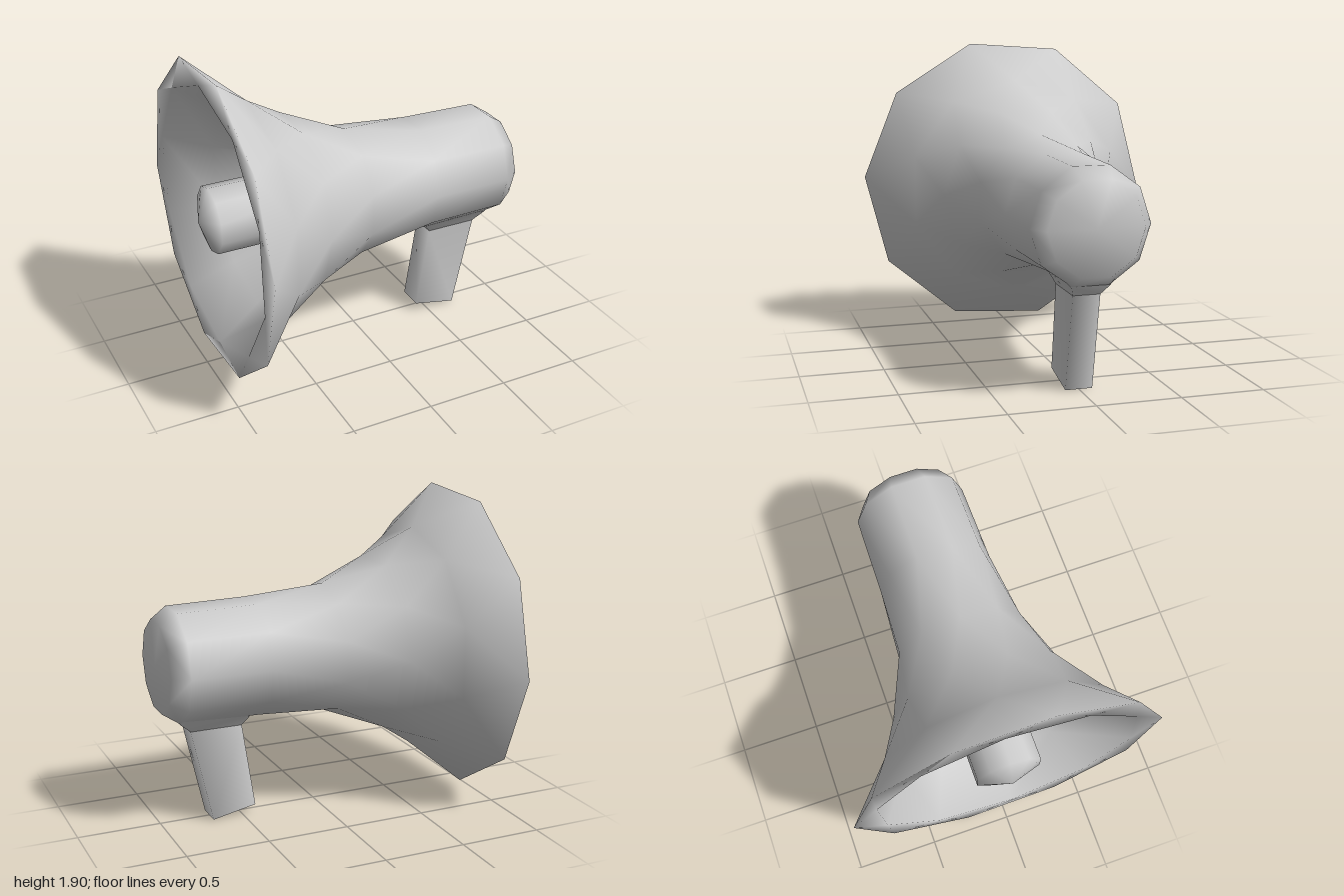
import * as THREE from 'three';

const AXIS_Y = 0.975;
const SIDES = 10;

// Ring of points around the horn's long axis (phase in degrees, 0 = top)
function ring(x, r, phase = 0) {
  return Array.from({ length: SIDES }, (_, j) => {
    const a = THREE.MathUtils.degToRad(phase + (360 / SIDES) * j);
    return new THREE.Vector3(x, AXIS_Y + r * Math.cos(a), r * Math.sin(a));
  });
}

// Rectangular ring for the grip; y may differ between its two ends
function rect(x0, y0, x1, y1, z) {
  return [[x1, y1, -z], [x1, y1, z], [x0, y0, z], [x0, y0, -z]].map(p => new THREE.Vector3(...p));
}

const onAxis = x => new THREE.Vector3(x, AXIS_Y, 0);

// Smooth skin over rings, split along the shorter diagonals;
// start and end are optional points that close it with a fan
function loft(name, rings, { start, end } = {}) {
  const n = rings[0].length;
  const base = (rings.length - 1) * n;
  const pts = rings.flat();
  const index = [];
  for (let i = 0; i < base; i += n) {
    for (let j = 0; j < n; j++) {
      const k = (j + 1) % n;
      const a = i + j, b = i + k, c = a + n, d = b + n;
      if (pts[a].distanceTo(pts[d]) < pts[b].distanceTo(pts[c])) index.push(a, b, d, a, d, c);
      else index.push(a, b, c, b, d, c);
    }
  }
  if (start) {
    const tip = pts.push(start) - 1;
    for (let j = 0; j < n; j++) index.push(tip, (j + 1) % n, j);
  }
  if (end) {
    const tip = pts.push(end) - 1;
    for (let j = 0; j < n; j++) index.push(tip, base + j, base + (j + 1) % n);
  }
  const geometry = new THREE.BufferGeometry().setFromPoints(pts);
  geometry.setIndex(index);
  geometry.computeVertexNormals();
  const material = new THREE.MeshStandardMaterial({ color: 0xcccccc, side: THREE.DoubleSide });
  const mesh = new THREE.Mesh(geometry, material);
  mesh.name = name;
  return mesh;
}

export function createModel() {
  const group = new THREE.Group();
  group.name = 'megaphone';

  // Horn: throat, inside of the bell, flat lip, then the outside to the closed rear end
  group.add(loft('hornBody', [
    ring(-0.05, 0.22, 32.2),
    ring(-0.67, 0.62, 32.2),
    ring(-0.93, 0.82, 32.2),
    ring(-0.93, 0.956, 14.2),
    ring(-0.67, 0.70, 0),
    ring(-0.40, 0.535, 18),
    ring(-0.06, 0.40, 0),
    ring(0.40, 0.355, 18),
    ring(0.89, 0.347, 18),
    ring(0.99, 0.278, 18),
  ], { end: onAxis(1) }));

  // Sound driver in the middle of the bell, with a shallow pointed cap
  group.add(loft('innerDriver', [
    ring(-0.93, 0.205),
    ring(-0.04, 0.205),
  ], { start: onAxis(-1) }));

  // Flared mount under the body
  group.add(loft('handleMount', [
    rect(0.45, 0.69, 0.88, 0.69, 0.16),
    rect(0.455, 0.64, 0.89, 0.64, 0.11),
    rect(0.5, 0.578, 0.82, 0.578, 0.08),
  ]));

  // Slanted grip
  group.add(loft('handle', [
    rect(0.5, 0.578, 0.82, 0.578, 0.08),
    rect(0.42, 0.055, 0.69, 0, 0.08),
  ]));

  // Flat underside of the grip
  group.add(loft('handleBase', [
    rect(0.42, 0.055, 0.69, 0, 0.08),
  ], { end: new THREE.Vector3(0.555, 0.0275, 0) }));

  return group;
}
